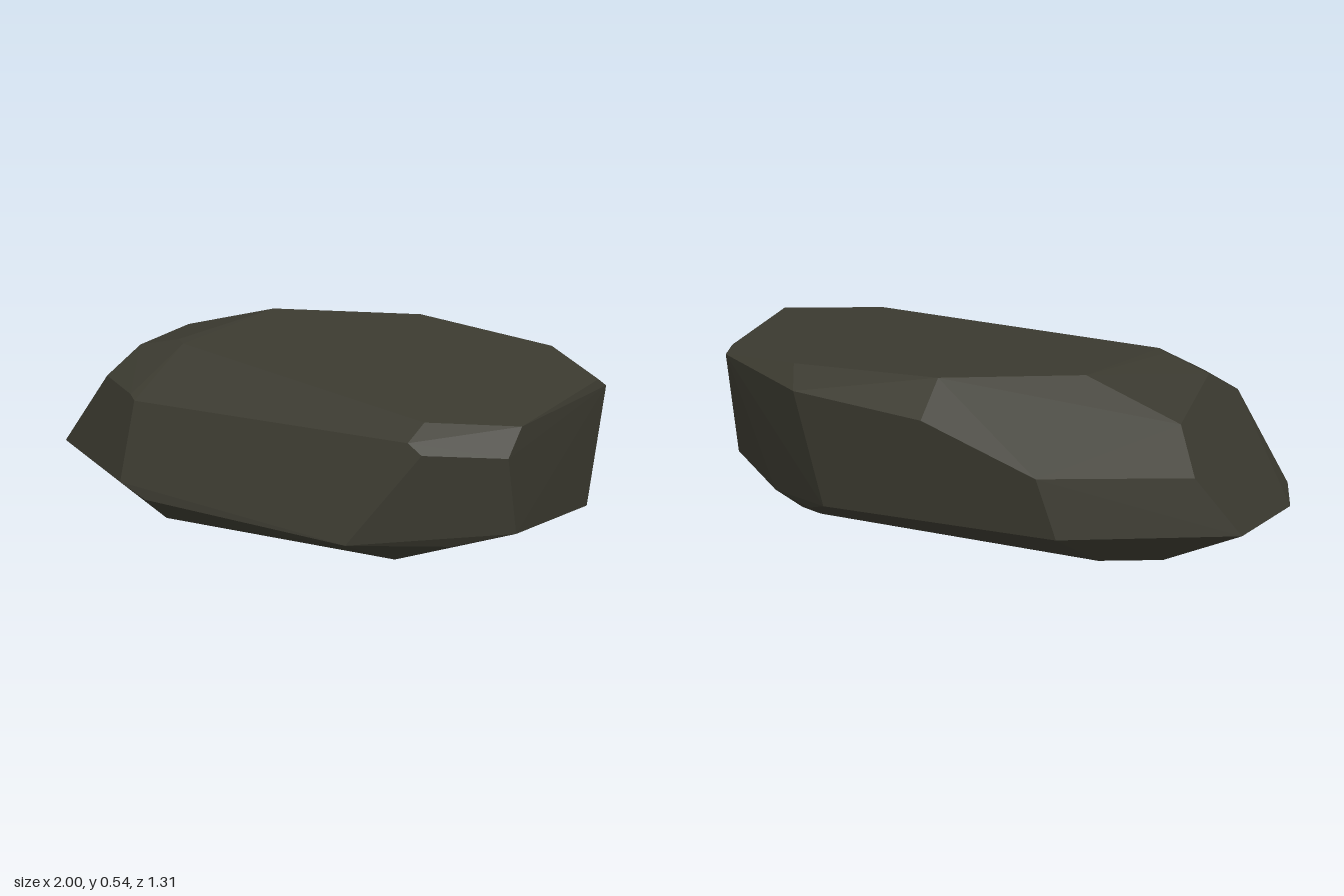
import * as THREE from 'three';
import { ConvexGeometry } from 'three/addons/geometries/ConvexGeometry.js';

// Corner rings of the faceted boulder, from the ground upwards.
const base = [
  [0.64, 0, 0.22], [0.47, 0, -0.46], [0.38, 0, -0.47], [-0.59, 0, -0.21],
  [-0.73, 0, -0.06], [-0.61, 0, 0.37], [-0.18, 0, 0.51],
];
const lowerRim = [
  [1, 0.13, 0.01], [0.84, 0.075, 0.15], [0.62, 0.07, 0.4], [-0.13, 0.09, 0.63],
  [-0.23, 0.13, 0.655], [-0.73, 0.13, 0.5], [-0.82, 0.09, 0.42], [-1, 0.12, 0.02],
  [-0.59, 0.11, -0.4], [0.25, 0.08, -0.59], [0.36, 0.04, -0.54],
  [0.57, 0.04, -0.48], [0.79, 0.105, -0.42],
];
const shoulder = [
  [1, 0.38, 0.04], [0.81, 0.38, 0.24], [0.75, 0.41, 0.25], [-0.25, 0.38, 0.585],
  [-0.29, 0.39, 0.57], [-0.51, 0.39, 0.5], [-0.89, 0.31, -0.08], [-0.54, 0.31, -0.44],
  [-0.14, 0.44, -0.55], [0.32, 0.46, -0.655], [0.73, 0.465, -0.54],
];
const crown = [
  [0.95, 0.46, -0.05], [0.73, 0.46, 0.17], [-0.31, 0.515, 0.35], [-0.36, 0.515, 0.33],
  [-0.51, 0.47, 0.37], [-0.73, 0.43, 0.02], [-0.4, 0.54, -0.07], [-0.08, 0.537, -0.41],
  [0.4, 0.515, -0.57], [0.73, 0.49, -0.51],
];

export function createModel() {
  const group = new THREE.Group();
  group.name = 'rock';

  const stone = new THREE.MeshStandardMaterial({ color: 0x3b3a30, flatShading: true });
  stone.name = 'dark stone';

  // The boulder is one convex body with flat facets.
  const corners = [base, lowerRim, shoulder, crown].flat().map((p) => new THREE.Vector3(...p));
  const boulder = new THREE.Mesh(new ConvexGeometry(corners), stone);
  boulder.name = 'boulder';
  group.add(boulder);
  return group;
}
